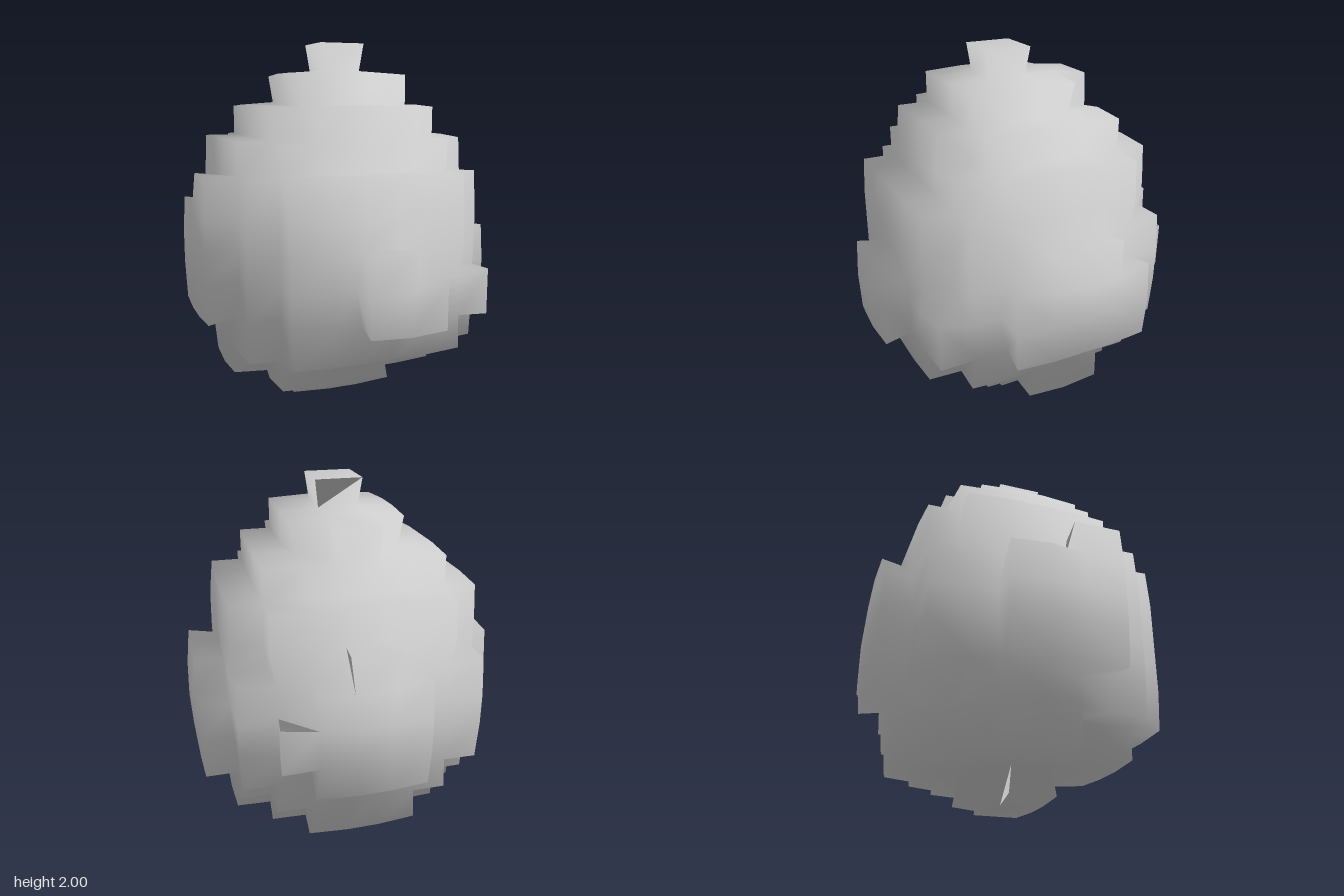
import * as THREE from 'three';

const CELL = 0.1725;   // cell size
const PUFF = 0.07;     // how far the skin swells along its normals
const FLOOR = 0.063;   // height of the lowest cell before swelling

// Blocks of cells: [x0, x1, row0, row1, z0, z1]
const cap = [
  [0, 0, 10, 10, 0, 0],
  [-1, 1, 9, 9, -1, 1], [0, 0, 9, 9, -2, -2],
  [-2, 2, 8, 8, -2, 1], [-1, 1, 8, 8, 2, 2],
  [-3, 3, 7, 7, -2, 1], [-2, 2, 7, 7, -3, 2],
];
const middle = [
  [-3, 3, 2, 6, -2, 2], [-2, 2, 2, 6, -3, 3],
  [-3, 3, 3, 5, -3, -3], [3, 3, 3, 3, 3, 3],
];
const base = [
  [-3, 3, 1, 1, -1, 0], [-2, 2, 1, 1, -2, 1],
  [-2, 0, 1, 1, 2, 2], [-1, 1, 1, 1, -3, -3],
  [-1, 1, 0, 0, 0, 0], [0, 0, 0, 0, -1, -1],
];
const sidePatches = [
  [4, 4, 3, 4, -2, 1], [4, 4, 5, 5, -1, 0],                          // left
  [-4, -4, 3, 5, -1, 1], [-4, -4, 6, 6, 1, 1],                       // right
  [0, 1, 3, 3, 4, 4], [0, 0, 4, 4, 4, 4],                            // front
  [-1, 1, 3, 5, -4, -4], [2, 2, 4, 4, -4, -4], [0, 0, 6, 6, -4, -4], // back
];

function fillCells(blocks) {
  const cells = new Map();
  for (const [x0, x1, y0, y1, z0, z1] of blocks)
    for (let x = x0; x <= x1; x++)
      for (let y = y0; y <= y1; y++)
        for (let z = z0; z <= z1; z++) cells.set(`${x},${y},${z}`, [x, y, z]);
  return cells;
}

// Outer skin of the cells with shared corners, swollen and softly shaded
function skinGeometry(cells) {
  const lookup = new Map(), corners = [], normals = [], links = [], index = [];
  const corner = (p) => {
    const key = p.join();
    if (!lookup.has(key)) {
      lookup.set(key, corners.length);
      corners.push(p);
      normals.push(new THREE.Vector3());
      links.push(new Set());
    }
    return lookup.get(key);
  };
  for (const cell of cells.values()) {
    for (let axis = 0; axis < 3; axis++) {
      for (const dir of [-1, 1]) {
        const next = cell.slice();
        next[axis] += dir;
        if (cells.has(next.join())) continue;
        const u = (axis + 1) % 3, v = (axis + 2) % 3;
        const quad = [[0, 0], [1, 0], [1, 1], [0, 1]].map(([a, b]) => {
          const p = cell.slice();
          p[axis] += dir > 0 ? 1 : 0;
          p[u] += a;
          p[v] += b;
          return corner(p);
        });
        if (dir < 0) quad.reverse();
        const [a, b, c, d] = quad;
        index.push(a, b, c, a, c, d);
        quad.forEach((id, i) => {
          normals[id].setComponent(axis, normals[id].getComponent(axis) + dir);
          links[id].add(quad[(i + 1) % 4]).add(quad[(i + 3) % 4]);
        });
      }
    }
  }
  normals.forEach((n) => n.normalize());

  // Swell every corner along its normal
  const position = corners.flatMap(([x, y, z], i) => [
    (x - 0.5) * CELL + normals[i].x * PUFF,
    y * CELL + FLOOR + normals[i].y * PUFF,
    (z - 0.5) * CELL + normals[i].z * PUFF,
  ]);

  // Even out the shading normals over neighbouring corners
  let soft = normals;
  for (let pass = 0; pass < 3; pass++) {
    soft = soft.map((n, i) => {
      const sum = n.clone();
      for (const j of links[i]) sum.add(soft[j]);
      return sum.normalize();
    });
  }

  const geometry = new THREE.BufferGeometry();
  geometry.setAttribute('position', new THREE.Float32BufferAttribute(position, 3));
  geometry.setAttribute('normal', new THREE.Float32BufferAttribute(soft.flatMap((n) => n.toArray()), 3));
  geometry.setIndex(index);
  return geometry;
}

export function createModel() {
  const group = new THREE.Group();
  group.name = 'steppedEgg';
  const cells = fillCells([...cap, ...middle, ...base, ...sidePatches]);
  // Cell coordinates are centred, so shift by half a cell happens in the skin
  const shell = new THREE.Mesh(
    skinGeometry(cells),
    new THREE.MeshStandardMaterial({ color: 0xcccccc }),
  );
  shell.name = 'shell';
  group.add(shell);
  return group;
}
